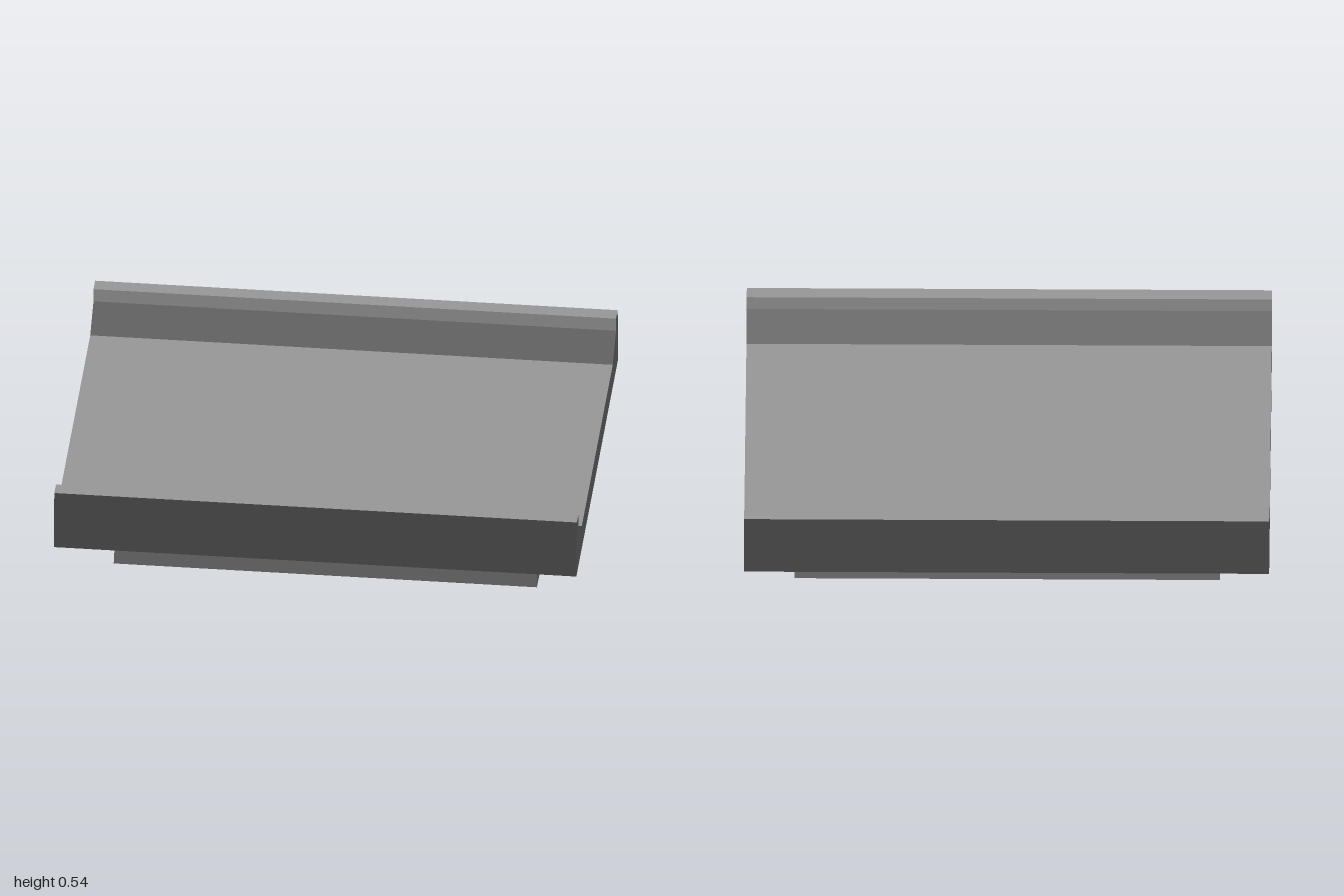
import * as THREE from 'three';

// Mirrors a half profile of [z, y] points and extrudes it along x.
function mirroredBar(half, length) {
  const points = [...half, ...half.map(([z, y]) => [-z, y]).reverse()];
  const shape = new THREE.Shape(points.map(([z, y]) => new THREE.Vector2(z, y)));
  const geometry = new THREE.ExtrudeGeometry(shape, { depth: length, bevelEnabled: false });
  return geometry.translate(0, 0, -length / 2).rotateY(-Math.PI / 2);
}

// Gives level tops and upright inner curb faces material 1, all other faces material 0.
function groupChannelFaces(geometry) {
  const { position, normal } = geometry.attributes;
  geometry.clearGroups();
  for (let i = 0; i < position.count; i += 3) {
    const isChannel = normal.getY(i) > 0.99 || Math.abs(normal.getZ(i)) > 0.999;
    geometry.addGroup(i, 3, isChannel ? 1 : 0);
  }
  return geometry;
}

function namedMesh(name, geometry, material) {
  const mesh = new THREE.Mesh(geometry, material);
  mesh.name = name;
  return mesh;
}

export function createModel() {
  const group = new THREE.Group();
  group.name = 'raisedChannel';
  const darkGrey = new THREE.MeshStandardMaterial({ color: 0x4c4c4c });
  darkGrey.name = 'darkGrey';
  const lightGrey = new THREE.MeshStandardMaterial({ color: 0x989898 });
  lightGrey.name = 'lightGrey';

  // Wide deck with a raised curb on a sloped foot along each long side
  const deck = mirroredBar(
    [[0.77, 0.303], [0.75, 0.535], [0.69, 0.535], [0.69, 0.48], [0.57, 0.403]], 2);
  group.add(namedMesh('deck', groupChannelFaces(deck), [darkGrey, lightGrey]));

  // Tapered plinth, shorter than the deck
  group.add(namedMesh('plinth', mirroredBar([[0.393, 0], [0.2, 0.303]], 1.62), darkGrey));

  return group;
}
